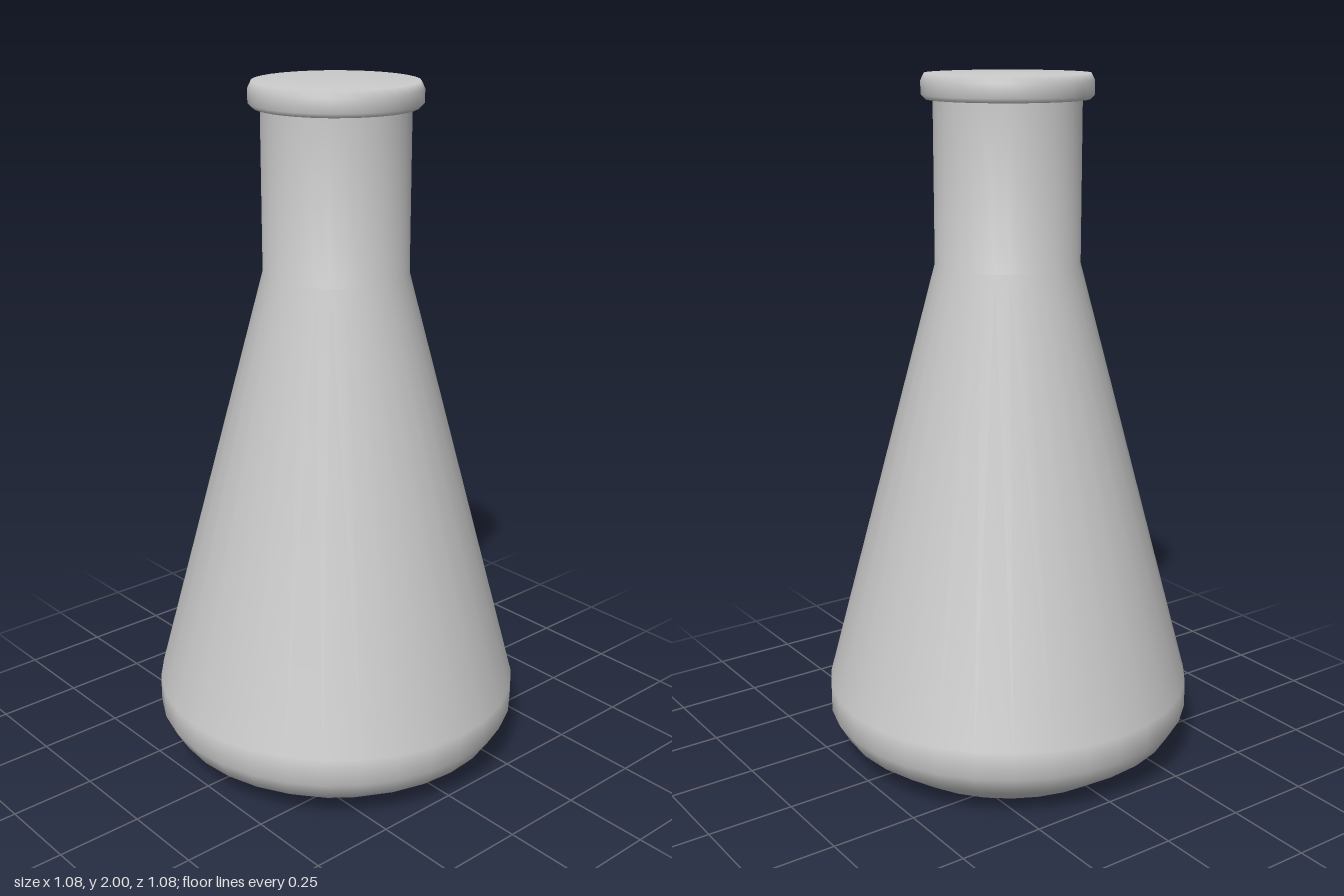
import * as THREE from 'three';

const SIDES = 32;

export function createModel() {
  const flask = new THREE.Group();
  flask.name = 'conicalFlask';
  const material = new THREE.MeshStandardMaterial({ color: 0xcccccc });

  // Revolves a [radius, height] profile, listed from bottom to top
  const addLathe = (name, profile) => {
    const points = profile.map(([r, y]) => new THREE.Vector2(r, y));
    const mesh = new THREE.Mesh(new THREE.LatheGeometry(points, SIDES), material);
    mesh.name = name;
    flask.add(mesh);
  };

  // Closed base, rounded shoulder, conical wall and straight neck
  addLathe('bodyAndNeck', [
    [0, 0], [0.39, 0], [0.505, 0.08], [0.54, 0.14], [0.54, 0.22],
    [0.207, 1.475], [0.207, 1.93],
  ]);

  // Rounded lip closed by a flat top
  addLathe('rim', [
    [0.207, 1.93], [0.228, 1.93], [0.24, 1.942], [0.24, 1.98],
    [0.23, 2], [0, 2],
  ]);

  return flask;
}
